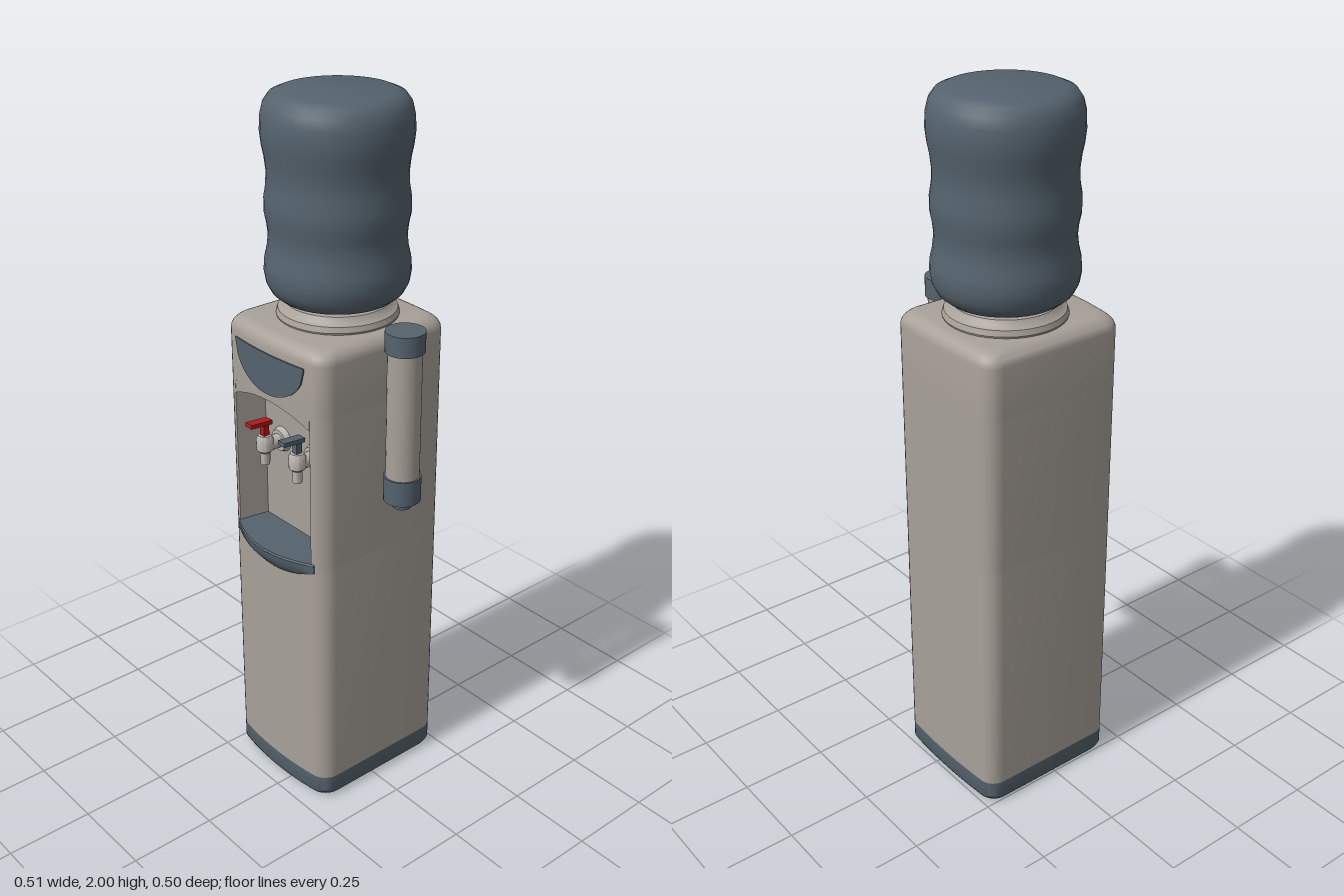
import * as THREE from 'three';
import { toCreasedNormals } from 'three/addons/utils/BufferGeometryUtils.js';

const CX = -0.0525, CZ = -0.025, HW = 0.2025, HD = 0.215;
const frontZ = (u) => 0.19 + 0.02 * (1 - (u / HW) ** 2); // gently bowed front

// Skin a list of equal-length rings, with optional fan caps.
function loft(rings, caps = true) {
  const pos = [];
  const tri = (...pts) => pts.forEach((p) => pos.push(...p));
  const n = rings[0].length;
  for (let i = 0; i + 1 < rings.length; i++) {
    for (let j = 0; j < n; j++) {
      const k = (j + 1) % n, a = rings[i], b = rings[i + 1];
      tri(a[j], a[k], b[k]);
      tri(a[j], b[k], b[j]);
    }
  }
  if (caps) {
    [rings[0], rings[rings.length - 1]].forEach((r, end) => {
      const c = [0, 1, 2].map((d) => r.reduce((s, p) => s + p[d], 0) / n);
      for (let j = 0; j < n; j++) {
        const k = (j + 1) % n;
        if (end) tri(c, r[j], r[k]);
        else tri(c, r[k], r[j]);
      }
    });
  }
  const g = new THREE.BufferGeometry();
  g.setAttribute('position', new THREE.Float32BufferAttribute(pos, 3));
  return toCreasedNormals(g, 0.6);
}

// Rounded cabinet outline at height y; notched leaves a niche in the front.
function plan(y, inset = 0, notched = false) {
  const hw = HW - inset, hd = HD - inset, r = 0.042, pts = [];
  const add = (u, w) => {
    const bow = (w > 0 ? 0.02 : -0.01) * (1 - (u / hw) ** 2);
    pts.push([CX + u, y, CZ + w + bow]);
  };
  const edge = (from, to, w, steps) => {
    for (let i = 1; i < steps; i++) add(from + (to - from) * i / steps, w);
  };
  const corner = (sx, sz, start) => {
    for (let i = 0; i <= 6; i++) {
      const t = start + (i / 6) * Math.PI / 2;
      add(sx * (hw - r) + r * Math.sin(t), sz * (hd - r) + r * Math.cos(t));
    }
  };
  if (notched) {
    [[-0.157, frontZ(0.157)], [-0.142, 0.11], [0.142, 0.11], [0.157, frontZ(0.157)]]
      .forEach(([u, z]) => pts.push([CX + u, y, z]));
  } else edge(-(hw - r), hw - r, hd, 14);
  corner(1, 1, 0);
  corner(1, -1, Math.PI / 2);
  edge(hw - r, -(hw - r), -hd, 8);
  corner(-1, -1, Math.PI);
  corner(-1, 1, Math.PI * 1.5);
  return pts;
}

// Sweep a y/z section across the width; section(u) returns [y, z] pairs.
function sweep(half, steps, section, centre = CX) {
  const rings = [];
  for (let i = 0; i <= steps; i++) {
    const u = -half + 2 * half * i / steps;
    rings.push(section(u).map(([y, z]) => [centre + u, y, z]));
  }
  return loft(rings);
}

export function createModel() {
  const group = new THREE.Group();
  const mat = (name, color) => Object.assign(new THREE.MeshStandardMaterial({ color }), { name });
  const beige = mat('warm grey plastic', 0xa8a199);
  const slate = mat('slate blue plastic', 0x55636e);
  const pale = mat('pale tap plastic', 0xb9b4ae);
  const red = mat('red lever', 0xb31b1b);

  const add = (name, geometry, material, x = 0, y = 0, z = 0, parent = group) => {
    const m = new THREE.Mesh(geometry, material);
    m.name = name;
    m.position.set(x, y, z);
    parent.add(m);
    return m;
  };
  const lathe = (pts, segments = 40) => toCreasedNormals(
    new THREE.LatheGeometry(pts.map(([r, y]) => new THREE.Vector2(r, y)), segments), 0.6);

  // Cabinet in stacked sections
  add('base', loft([plan(0, 0.018), plan(0.006, 0.007), plan(0.02, 0), plan(0.07)]), slate);
  add('lowerCabinet', loft([plan(0.07), plan(0.78)]), beige);
  add('nicheWalls', loft([plan(0.78, 0, true), plan(1.228, 0, true)], false), beige);
  const top = [plan(1.228)];
  for (let i = 0; i <= 6; i++) {
    const t = (i / 6) * Math.PI / 2;
    top.push(plan(1.372 + 0.038 * Math.sin(t), 0.038 * (1 - Math.cos(t))));
  }
  add('upperCabinet', loft(top), beige);

  // Arched head of the niche
  add('nicheArch', sweep(0.156, 16, (u) => {
    const low = 1.225 - 0.035 * (u / 0.156) ** 2;
    return [[low, 0.11], [1.228, 0.11], [1.228, frontZ(u)], [low, frontZ(u)]];
  }), beige);

  // Half-moon plate above the niche
  add('frontPlate', sweep(0.142, 28, (u) => {
    const low = 1.355 - 0.11 * Math.sqrt(Math.max(0, 1 - (u / 0.142) ** 2));
    const z = frontZ(u);
    return [[low, z - 0.003], [1.36, z - 0.003], [1.36, z + 0.004], [low, z + 0.004]];
  }), slate);

  // Bowed drip tray
  add('dripTray', sweep(0.168, 20, (u) => {
    const k = 1 - (u / 0.168) ** 2, z = 0.198 + 0.05 * k;
    const low = 0.765 - 0.037 * k, mid = (low + 0.775) / 2;
    return [[low, 0.13], [0.782, 0.11], [0.793, 0.11], [0.793, z - 0.003], [0.788, z],
      [0.775, z - 0.002], [mid, z - 0.012 * k], [low, z - 0.032 * k]];
  }), slate);

  // Hot and cold taps
  [['hotTap', -0.12, red], ['coldTap', 0.02, slate]].forEach(([name, x, lever]) => {
    const tap = new THREE.Group();
    tap.name = name;
    tap.position.set(x, 1.055, 0);
    group.add(tap);
    add('flange', new THREE.CylinderGeometry(0.03, 0.036, 0.016, 24), pale, 0, 0, 0.118, tap).rotation.x = Math.PI / 2;
    add('barrel', new THREE.CylinderGeometry(0.02, 0.02, 0.065, 20), pale, 0, 0, 0.15, tap).rotation.x = Math.PI / 2;
    add('spout', lathe([[0, -0.055], [0.013, -0.055], [0.014, -0.02], [0.023, -0.012],
      [0.024, 0.02], [0.018, 0.032], [0, 0.032]], 20), pale, 0, 0, 0.172, tap);
    add('leverStem', new THREE.BoxGeometry(0.018, 0.05, 0.018), lever, 0, 0.048, 0.172, tap);
    add('lever', new THREE.BoxGeometry(0.027, 0.012, 0.07), lever, 0, 0.072, 0.19, tap).rotation.x = -0.08;
  });

  // Bottle and its seat
  const BX = -0.056, BZ = -0.034;
  add('bottleCollar', lathe([[0, 1.4], [0.16, 1.4], [0.165, 1.415], [0.16, 1.43],
    [0.148, 1.436], [0.14, 1.45], [0.12, 1.452], [0, 1.452]]), beige, BX, 0, BZ);
  add('waterBottle', lathe([[0.11, 1.435], [0.125, 1.455], [0.155, 1.463], [0.176, 1.48],
    [0.189, 1.505], [0.194, 1.535], [0.192, 1.565], [0.185, 1.595], [0.181, 1.63], [0.184, 1.66],
    [0.19, 1.69], [0.19, 1.73], [0.184, 1.765], [0.183, 1.8], [0.187, 1.835], [0.193, 1.865],
    [0.197, 1.9], [0.195, 1.94], [0.188, 1.968], [0.174, 1.988], [0.15, 1.998], [0, 2]]), slate, BX, 0, BZ);

  // Cup dispenser on the side
  const tube = (name, r, y0, y1, m) =>
    add(name, new THREE.CylinderGeometry(r, r, y1 - y0, 28), m, 0.202, (y0 + y1) / 2, -0.04);
  tube('cupTube', 0.046, 1.01, 1.39, beige);
  tube('cupTubeLid', 0.053, 1.38, 1.436, slate);
  tube('cupTubeFoot', 0.051, 0.95, 1.022, slate);
  tube('cupOutlet', 0.026, 0.927, 0.952, slate);
  return group;
}
